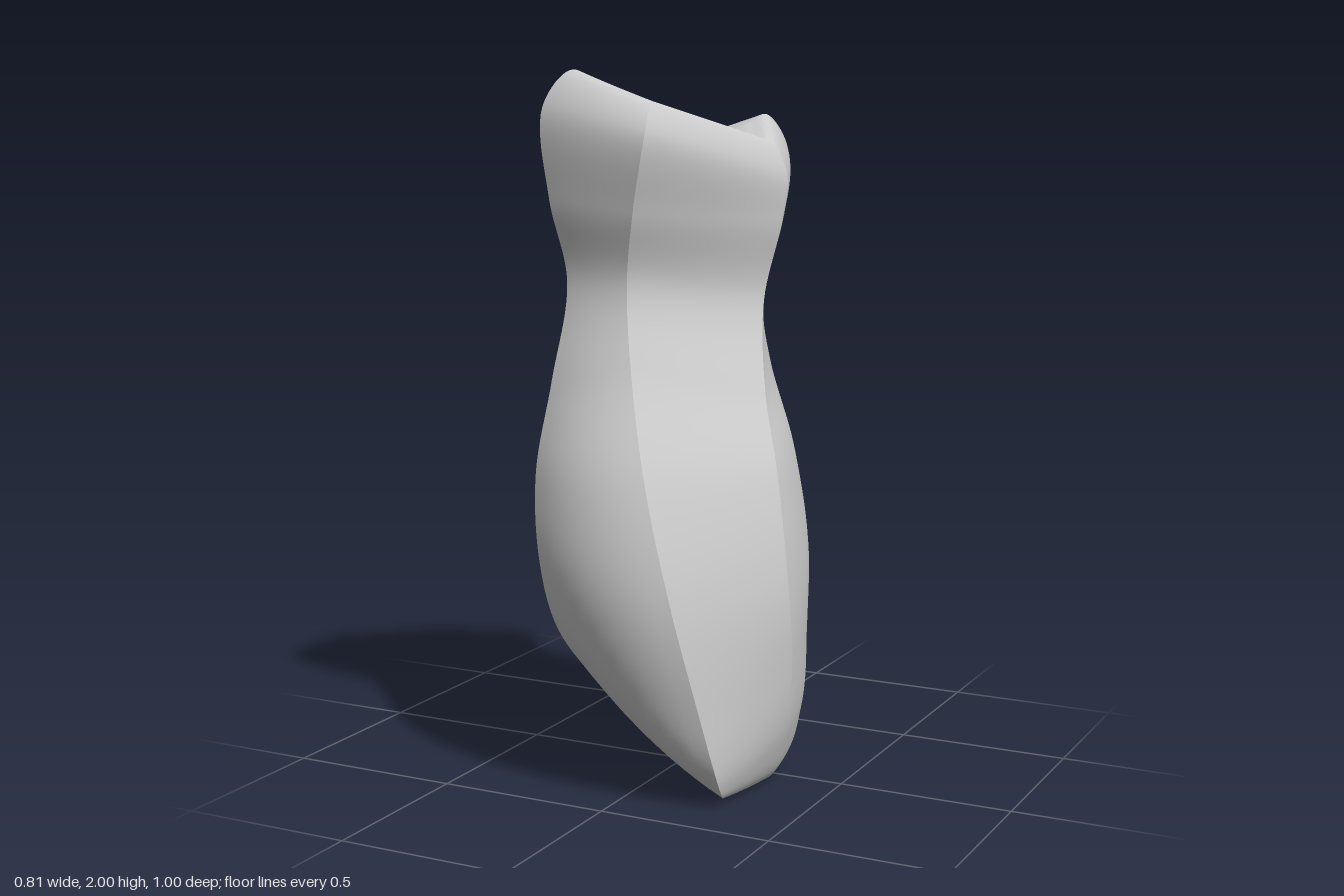
import * as THREE from 'three';
import { toCreasedNormals } from 'three/addons/utils/BufferGeometryUtils.js';

const HOLLOW = new THREE.Vector3(0.02, 1.785, 0);     // deepest point of the top bowl
const BASE = new THREE.Vector3(0.06, 0.16, 0.04);     // middle of the slanted underside
const STEPS = 10;                                     // samples per curve span and per side

// A lengthwise ridge: bowl centre -> rim -> waist -> belly -> underside centre
function ridge(...points) {
  const p = points.map(q => new THREE.Vector3(...q));
  const bowl = [[0.6, 0.78], [0.25, 0.24]].map(([inward, drop]) => {
    const v = p[0].clone().lerp(HOLLOW, inward);
    v.y = THREE.MathUtils.lerp(p[0].y, HOLLOW.y, drop);
    return v;
  });
  return new THREE.CatmullRomCurve3([HOLLOW, ...bowl, ...p, BASE]);
}

// Six ridges, clockwise as seen from above
const frontLeft = ridge([0.03, 1.915, 0.25], [0.045, 1.83, 0.32], [0, 1.62, 0.305], [-0.04, 1.42, 0.265], [0, 1.2, 0.32],
  [0.1, 0.9, 0.43], [0.19, 0.6, 0.465], [0.255, 0.3, 0.425], [0.285, 0.07, 0.355], [0.265, 0.015, 0.285]);
const frontRight = ridge([-0.22, 2.0, 0.24], [-0.28, 1.9, 0.3], [-0.265, 1.65, 0.295], [-0.23, 1.42, 0.26], [-0.245, 1.15, 0.325],
  [-0.255, 0.9, 0.4], [-0.225, 0.66, 0.435], [-0.19, 0.47, 0.4], [-0.12, 0.33, 0.33], [-0.05, 0.25, 0.26]);
const right = ridge([-0.3, 1.875, 0], [-0.36, 1.78, 0], [-0.32, 1.61, -0.01], [-0.25, 1.38, -0.03], [-0.275, 1.15, 0],
  [-0.36, 0.92, 0.02], [-0.405, 0.75, 0.03], [-0.37, 0.6, 0.03], [-0.3, 0.5, 0.03], [-0.2, 0.4, 0.03]);
const backRight = ridge([-0.14, 1.785, -0.215], [-0.2, 1.68, -0.3], [-0.215, 1.55, -0.305], [-0.225, 1.38, -0.285], [-0.265, 1.15, -0.3],
  [-0.32, 0.95, -0.31], [-0.33, 0.76, -0.31], [-0.29, 0.57, -0.28], [-0.22, 0.44, -0.23], [-0.13, 0.34, -0.18]);
const back = ridge([0.13, 1.875, -0.28], [0.16, 1.78, -0.36], [0.14, 1.65, -0.38], [0.08, 1.4, -0.335], [0.08, 1.2, -0.37],
  [0.1, 0.95, -0.45], [0.12, 0.68, -0.505], [0.135, 0.42, -0.455], [0.19, 0.23, -0.37], [0.225, 0.09, -0.24]);
const left = ridge([0.215, 1.805, -0.11], [0.265, 1.71, -0.12], [0.255, 1.58, -0.11], [0.21, 1.36, -0.09], [0.26, 1.12, 0.01],
  [0.34, 0.9, 0.1], [0.395, 0.6, 0.145], [0.4, 0.38, 0.125], [0.365, 0.14, 0.09], [0.285, 0.003, 0.05]);

const ridges = [frontLeft, frontRight, right, backRight, back, left];
const bulges = [0.115, 0.02, 0.02, 0.05, 0.075, 0.02];   // outward bow of the side after each ridge

// One closed cross-section: a hexagon with gently bowed sides
function section(t) {
  const corners = ridges.map(r => r.getPoint(t));
  const belly = 0.3 + 0.7 * THREE.MathUtils.smoothstep(t, 0.45, 0.63);
  const ring = [];
  corners.forEach((a, i) => {
    const b = corners[(i + 1) % 6];
    const out = new THREE.Vector3(b.z - a.z, 0, a.x - b.x).multiplyScalar(bulges[i] * belly);
    for (let k = 0; k < STEPS; k++) {
      const u = k / STEPS;
      ring.push(a.clone().lerp(b, u).addScaledVector(out, 4 * u * (1 - u)));
    }
  });
  return ring;
}

// Skin the sections, bowl centre to underside centre
function bodyGeometry() {
  const spans = frontLeft.points.length - 1, rows = spans * STEPS, cols = 6 * STEPS;
  const positions = [], index = [];
  for (let r = 0; r <= rows; r++) section(r / rows).forEach(p => positions.push(p.x, p.y, p.z));
  for (let r = 0; r < rows; r++) {
    for (let c = 0; c < cols; c++) {
      const n = (c + 1) % cols, a = r * cols + c, b = r * cols + n, d = a + cols, e = b + cols;
      if (r > 0) index.push(a, b, e);
      if (r < rows - 1) index.push(a, e, d);
    }
  }
  const geometry = new THREE.BufferGeometry();
  geometry.setAttribute('position', new THREE.Float32BufferAttribute(positions, 3));
  geometry.setIndex(index);
  return toCreasedNormals(geometry, 0.45);
}

export function createModel() {
  const group = new THREE.Group();
  group.name = 'waistedBone';
  const body = new THREE.Mesh(bodyGeometry(), new THREE.MeshStandardMaterial({ color: 0xcccccc }));
  body.name = 'boneBody';
  group.add(body);
  return group;
}
